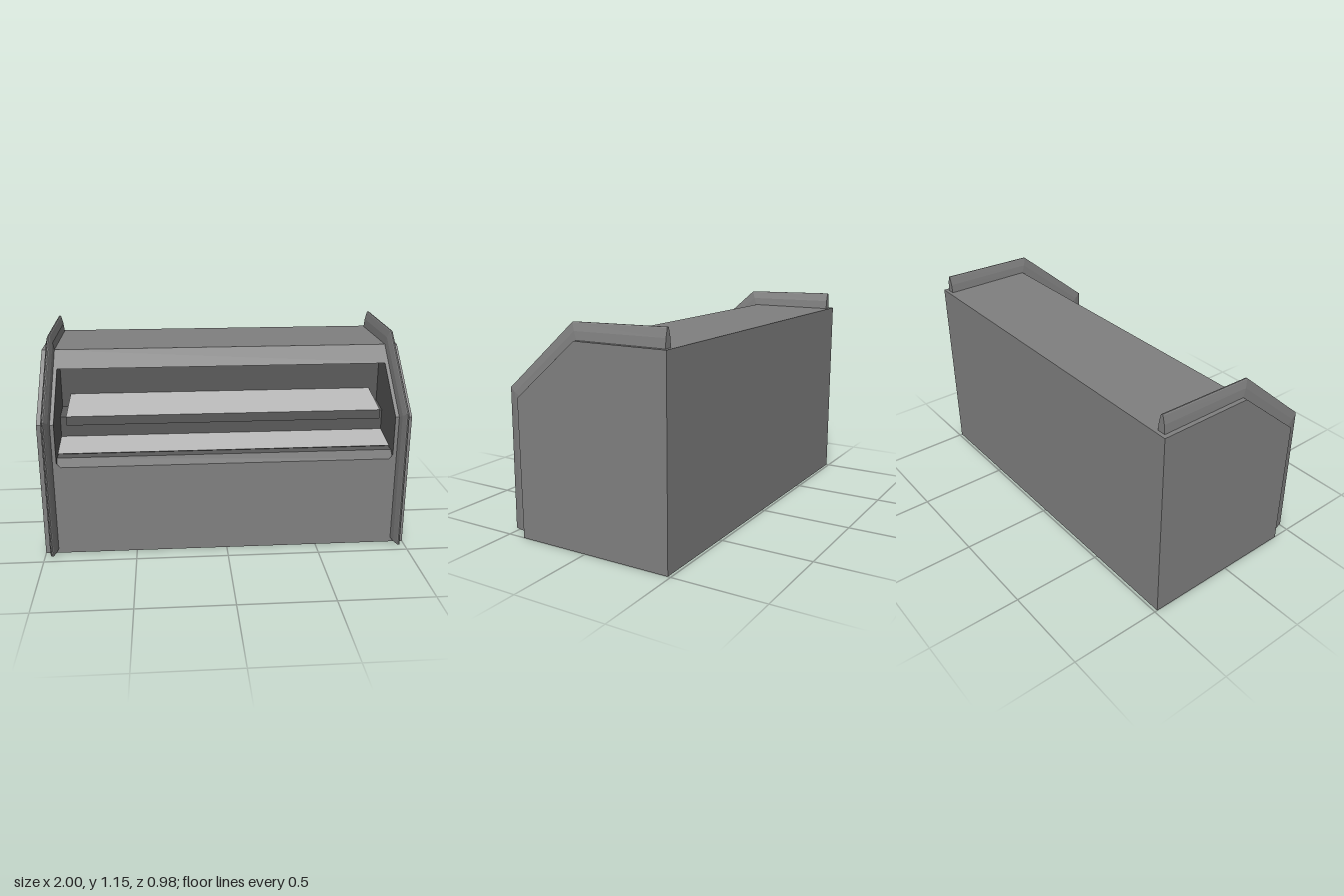
import * as THREE from 'three';

const mat = (name, color) => {
  const m = new THREE.MeshStandardMaterial({ color, side: THREE.DoubleSide });
  m.name = name;
  return m;
};

// Flat-shaded mesh from quads given as four corners each
function quads(name, material, list) {
  const pos = [];
  for (const [a, b, c, d] of list) pos.push(...a, ...b, ...c, ...a, ...c, ...d);
  const g = new THREE.BufferGeometry();
  g.setAttribute('position', new THREE.Float32BufferAttribute(pos, 3));
  g.computeVertexNormals();
  const mesh = new THREE.Mesh(g, material);
  mesh.name = name;
  return mesh;
}

// Sheet following a [z, y] path, spanning x0..x1
function strip(name, material, path, x0, x1) {
  const list = [];
  for (let i = 0; i < path.length - 1; i++) {
    const [z0, y0] = path[i], [z1, y1] = path[i + 1];
    list.push([[x0, y0, z0], [x0, y1, z1], [x1, y1, z1], [x1, y0, z0]]);
  }
  return quads(name, material, list);
}

// Flat panel in the z-y plane at a given x, facing the sign of x times `dir`
function sidePanel(name, material, outline, x, dir = 1) {
  const s = new THREE.Shape(outline.map(([z, y]) => new THREE.Vector2(-z, y)));
  const g = new THREE.ShapeGeometry(s);
  g.rotateY(Math.PI / 2);
  if (x * dir < 0) {
    const idx = g.index.array;
    for (let i = 0; i < idx.length; i += 3) [idx[i], idx[i + 1]] = [idx[i + 1], idx[i]];
    g.computeVertexNormals();
  }
  g.translate(x, 0, 0);
  const mesh = new THREE.Mesh(g, material);
  mesh.name = name;
  return mesh;
}

export function createModel() {
  const root = new THREE.Group();
  root.name = 'keyboardConsole';
  const body = mat('caseGrey', 0x808080);
  const dark = mat('recessGrey', 0x5a5a5a);
  const light = mat('keyGrey', 0xb8b8b8);
  const IN = 0.91; // half width of the opening

  // Case shell, open underneath
  root.add(strip('caseShell', body,
    [[-0.485, 0], [-0.485, 1.06], [0.03, 1.06], [0.13, 0.975]], -1, 1));
  const profile = [[-0.485, 0], [0.4, 0], [0.4, 0.745], [0.03, 1.06], [-0.485, 1.06]];

  // Front panel with the lower part of the opening cut out
  const front = new THREE.Shape([
    [-1, 0], [1, 0], [1, 0.745], [IN, 0.745], [IN, 0.53], [0.89, 0.505],
    [-0.89, 0.505], [-IN, 0.53], [-IN, 0.745], [-1, 0.745],
  ].map(([x, y]) => new THREE.Vector2(x, y)));
  const frontPanel = new THREE.Mesh(new THREE.ShapeGeometry(front), body);
  frontPanel.position.z = 0.4;
  frontPanel.name = 'frontPanel';
  root.add(frontPanel);

  // Recess: ceiling, stepped back wall, and sill
  root.add(strip('recessBack', dark, [[0.13, 0.975], [0, 0.96], [0, 0.72], [0.13, 0.7], [0.13, 0.544]], -IN, IN));
  root.add(strip('recessSill', dark, [[0.13, 0.544], [0.3, 0.544], [0.355, 0.543], [0.4, 0.505]], -IN, IN));
  const recess = [[0.4, 0.505], [0.4, 0.745], [0.13, 0.975], [0, 0.96], [0, 0.72],
    [0.13, 0.7], [0.13, 0.544], [0.355, 0.543]];

  // Lower key row
  root.add(strip('lowerKeys', light, [[0.13, 0.586], [0.315, 0.552]], -IN, IN));
  root.add(strip('lowerKeysEdge', dark, [[0.315, 0.552], [0.3, 0.544]], -IN, IN));

  // Upper key row
  const W = 0.86;
  root.add(strip('upperKeys', light, [[0, 0.795], [0.265, 0.745]], -W, W));
  root.add(strip('upperKeysBase', dark, [[0.265, 0.745], [0.265, 0.695], [0, 0.72]], -W, W));

  // Fin path: foot on the case and matching crest
  const foot = [[0.4, 0.025], [0.4, 0.745], [0.03, 1.06], [-0.465, 1.06]];
  const crest = [[0.49, 0.025], [0.48, 0.785], [0.065, 1.145], [-0.465, 1.155]];
  const section = [[-0.023, 0], [-0.018, 0.5], [-0.007, 0.95], [-0.003, 1],
    [0.003, 1], [0.007, 0.95], [0.018, 0.5], [0.023, 0]];

  for (const s of [1, -1]) {
    root.add(sidePanel('sidePanel', body, profile, s));
    root.add(strip('slopeStrip', body, [[0.13, 0.975], [0.4, 0.745]], s > 0 ? IN : -1, s > 0 ? 1 : -IN));
    root.add(sidePanel('recessSide', dark, recess, s * IN, -1));
    root.add(sidePanel('upperKeysEnd', dark,
      [[0, 0.72], [0.265, 0.695], [0.265, 0.745], [0, 0.795]], s * W));

    // Tapered fin running over the front, slope and top
    const rings = foot.map(([fz, fy], i) => section.map(([dx, t]) => [
      s * 0.953 + dx,
      fy + (crest[i][1] - fy) * t,
      fz + (crest[i][0] - fz) * t,
    ]));
    const faces = [];
    const n = section.length;
    for (let i = 0; i < rings.length - 1; i++)
      for (let j = 0; j < n - 1; j++)
        faces.push([rings[i][j], rings[i][j + 1], rings[i + 1][j + 1], rings[i + 1][j]]);
    for (const [r, flip] of [[rings[0], false], [rings[3], true]])
      for (let j = 0; j < n / 2 - 1; j++) {
        const q = [r[j], r[n - 1 - j], r[n - 2 - j], r[j + 1]];
        faces.push(flip ? q.reverse() : q);
      }
    root.add(quads('fin', body, faces));
  }
  return root;
}
